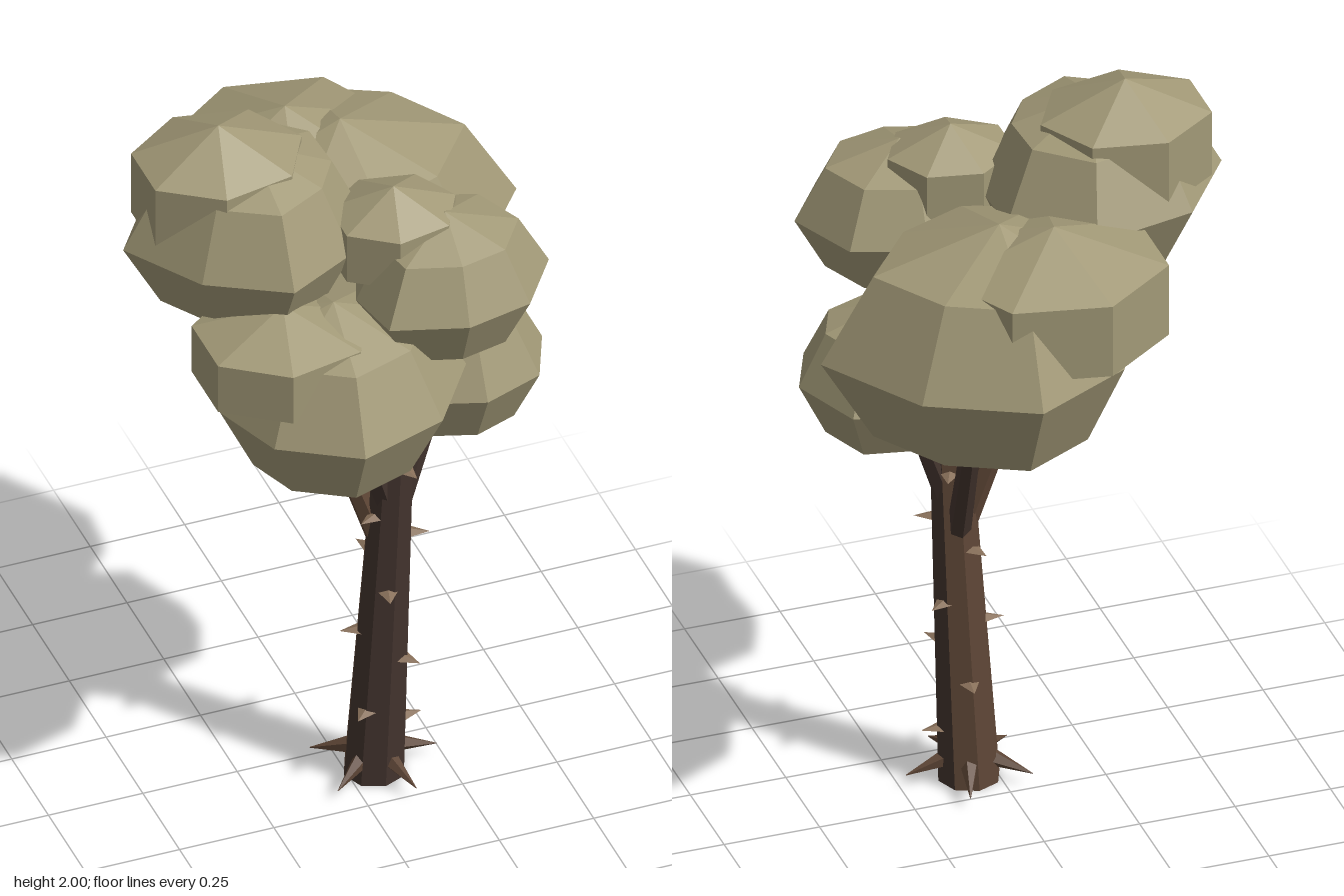
import * as THREE from 'three';

const mat = (name, color) =>
  new THREE.MeshStandardMaterial({ name, color, flatShading: true });

export function createModel() {
  const tree = new THREE.Group();
  tree.name = 'tree';
  const darkBark = mat('dark bark', 0x43342e);
  const brownBark = mat('brown bark', 0x5e4636);
  const thornTan = mat('thorn tan', 0x88705a);
  const leaf = mat('olive leaf', 0xa29977);

  const V = (x, y, z) => new THREE.Vector3(x, y, z);
  const up = V(0, 1, 0);

  function add(name, geometry, material) {
    const mesh = new THREE.Mesh(geometry, material);
    mesh.name = name;
    tree.add(mesh);
    return mesh;
  }

  // tapered stick between two points
  function stick(name, a, b, r0, r1, sides, material) {
    const dir = b.clone().sub(a);
    const mesh = add(name, new THREE.CylinderGeometry(r1, r0, dir.length(), sides), material);
    mesh.position.copy(a).add(b).multiplyScalar(0.5);
    mesh.quaternion.setFromUnitVectors(up, dir.normalize());
  }

  // trunk: leaning, eight-sided, with browner facets at the back
  const base = V(0.07, 0, 0.11), top = V(0.115, 1.2, 0.155);
  const trunkRadius = (y) => THREE.MathUtils.lerp(0.08, 0.047, y / 1.2);
  const trunkAt = (y) => base.clone().lerp(top, y / 1.2);
  const trunkGeo = new THREE.CylinderGeometry(0.047, 0.08, 1.2, 8, 1);
  trunkGeo.translate(0, 0.6, 0);
  const p = trunkGeo.attributes.position;
  for (let i = 0; i < p.count; i++) {
    const c = trunkAt(p.getY(i));
    p.setXYZ(i, p.getX(i) + c.x, p.getY(i), p.getZ(i) + c.z);
  }
  trunkGeo.clearGroups();
  trunkGeo.addGroup(0, 18, 0);
  trunkGeo.addGroup(18, 18, 1);
  trunkGeo.addGroup(36, 60, 0);
  add('trunk', trunkGeo, [darkBark, brownBark]);

  // branches reaching into each leaf clump
  [
    [0.66, V(-0.21, 1.58, 0.05), brownBark],
    [0.65, V(0.13, 1.35, -0.16), darkBark],
    [0.74, V(0.28, 1.25, 0.11), darkBark],
    [0.8, V(-0.06, 1.3, 0.25), darkBark],
    [0.95, V(0.19, 1.5, 0.24), darkBark],
  ].forEach(([y, end, m]) => stick('branch', trunkAt(y), end, 0.032, 0.02, 6, m));

  // flat thorns spiralling up the trunk
  const thornGeo = new THREE.ConeGeometry(1, 1, 4).rotateX(Math.PI / 2);
  for (let i = 0; i < 13; i++) {
    const y = 0.15 + i * 0.0737, a = THREE.MathUtils.degToRad(i * 137.5);
    const thorn = add('thorn', thornGeo, thornTan);
    thorn.position.copy(trunkAt(y))
      .addScaledVector(V(Math.cos(a), 0, Math.sin(a)), trunkRadius(y) + 0.014);
    thorn.rotation.y = Math.PI / 2 - a;
    thorn.scale.set(0.027, 0.01, 0.056);
  }

  // pointed roots around the foot
  for (let i = 0; i < 5; i++) {
    const a = (i / 5) * Math.PI * 2;
    const out = V(Math.cos(a), 0, Math.sin(a));
    stick('root', V(0.07, 0.065, 0.11).addScaledVector(out, 0.055),
      V(0.07, 0.033, 0.11).addScaledVector(out, 0.165), 0.024, 0.001, 5, brownBark);
  }

  // leaf clumps: centre, half height, and an uneven eight-point outline at
  // mid height, running from -x by way of +z
  [
    [[0.1, 1.45, -0.2], 0.325, [[-0.25, -0.18], [-0.14, 0.08], [0.11, 0.17], [0.36, 0.07],
      [0.56, -0.18], [0.39, -0.45], [0.12, -0.585], [-0.14, -0.45]]],
    [[-0.23, 1.7, 0.04], 0.25, [[-0.56, 0.02], [-0.43, 0.225], [-0.23, 0.34], [-0.04, 0.24],
      [0.05, 0.1], [0.04, -0.09], [-0.14, -0.25], [-0.41, -0.19]]],
    [[-0.1, 1.33, 0.27], 0.26, [[-0.4, 0.27], [-0.33, 0.46], [-0.135, 0.58], [0.1, 0.5],
      [0.24, 0.3], [0.15, 0.07], [-0.1, -0.03], [-0.32, 0.05]]],
    [[0.2, 1.58, 0.26], 0.2, [[-0.04, 0.27], [-0.01, 0.42], [0.18, 0.48], [0.355, 0.44],
      [0.465, 0.285], [0.385, 0.1], [0.2, 0.035], [0.03, 0.09]]],
    [[0.28, 1.21, 0.105], 0.2, [[0.05, 0.1], [0.11, 0.26], [0.29, 0.32], [0.45, 0.26],
      [0.515, 0.11], [0.44, -0.08], [0.27, -0.115], [0.12, -0.06]]],
  ].forEach(([[cx, cy, cz], h, outline]) => {
    const geo = new THREE.SphereGeometry(1, 8, 4);
    const q = geo.attributes.position;
    for (let i = 0; i < q.count; i++) {
      const [x, z] = outline[(i % 9) % 8];
      const s = Math.hypot(q.getX(i), q.getZ(i));
      q.setXYZ(i, cx + s * (x - cx), cy + h * q.getY(i), cz + s * (z - cz));
    }
    geo.computeVertexNormals();
    add('leafClump', geo, leaf);
  });

  // smaller seven-sided tufts on the clumps
  [
    [-0.015, 1.59, -0.28, 0.335, 0.2, 0.3],
    [-0.3, 1.82, 0, 0.255, 0.18, 0.22],
    [-0.23, 1.468, 0.26, 0.265, 0.14, 0.24],
    [0.09, 1.7, 0.19, 0.19, 0.14, 0.17],
  ].forEach(([x, y, z, a, b, c]) => {
    const m = add('leafTuft', new THREE.SphereGeometry(1, 7, 3).rotateY(Math.PI), leaf);
    m.position.set(x, y, z);
    m.scale.set(a, b, c);
  });

  return tree;
}
